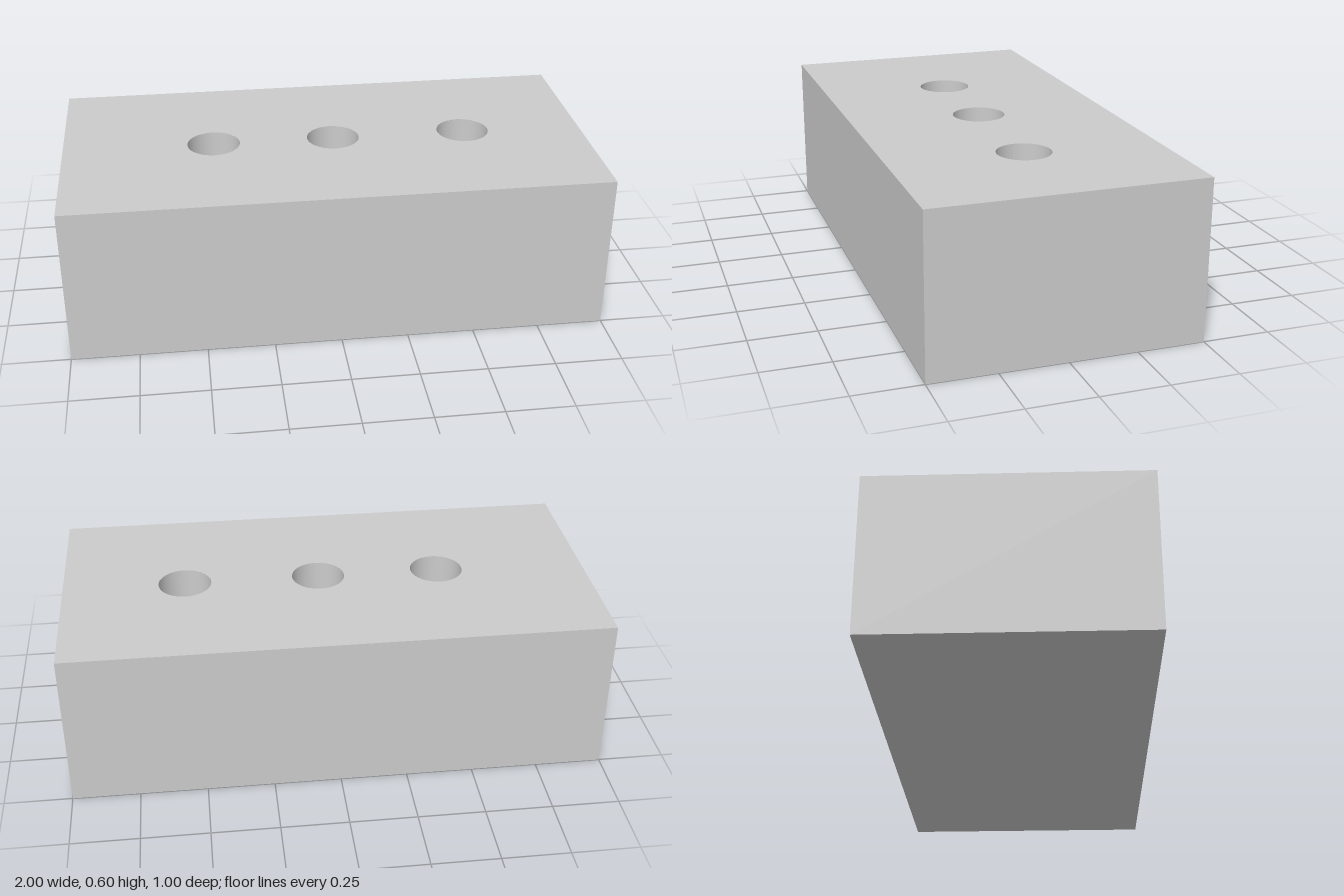
import * as THREE from 'three';

const LENGTH = 2, HEIGHT = 0.6, DEPTH = 1;
const HOLE_RADIUS = 0.1, HOLE_DEPTH = 0.4, SEGMENTS = 48;
const HOLE_X = [-0.43, 0.03, 0.54];

export function createModel() {
  const model = new THREE.Group();
  model.name = 'brick';
  const material = new THREE.MeshStandardMaterial({ color: 0xcccccc });
  const wallMaterial = new THREE.MeshStandardMaterial({ color: 0xcccccc, side: THREE.BackSide });

  const add = (name, geometry, mat = material, parent = model) => {
    const mesh = new THREE.Mesh(geometry, mat);
    mesh.name = name;
    parent.add(mesh);
    return mesh;
  };

  // Sides and underside: a box without its top face (third group of six indices)
  const body = new THREE.BoxGeometry(LENGTH, HEIGHT, DEPTH);
  const index = Array.from(body.index.array);
  index.splice(12, 6);
  body.setIndex(index);
  body.clearGroups();
  body.translate(0, HEIGHT / 2, 0);
  add('body', body);

  // Top face pierced by the holes
  const w = LENGTH / 2, d = DEPTH / 2;
  const outline = new THREE.Shape([
    new THREE.Vector2(-w, -d), new THREE.Vector2(w, -d),
    new THREE.Vector2(w, d), new THREE.Vector2(-w, d),
  ]);
  for (const x of HOLE_X) {
    outline.holes.push(new THREE.Path().absarc(x, 0, HOLE_RADIUS, 0, Math.PI * 2, true));
  }
  const top = new THREE.ShapeGeometry(outline, SEGMENTS);
  top.rotateX(-Math.PI / 2).translate(0, HEIGHT, 0);
  add('topFace', top);

  // Blind round holes: inward-facing wall and flat floor
  const wall = new THREE.CylinderGeometry(HOLE_RADIUS, HOLE_RADIUS, HOLE_DEPTH, SEGMENTS, 1, true);
  wall.translate(0, HEIGHT - HOLE_DEPTH / 2, 0);
  const floor = new THREE.CircleGeometry(HOLE_RADIUS, SEGMENTS);
  floor.rotateX(-Math.PI / 2).translate(0, HEIGHT - HOLE_DEPTH, 0);
  for (const x of HOLE_X) {
    const hole = new THREE.Group();
    hole.name = 'hole';
    hole.position.x = x;
    add('holeWall', wall, wallMaterial, hole);
    add('holeFloor', floor, material, hole);
    model.add(hole);
  }
  return model;
}
